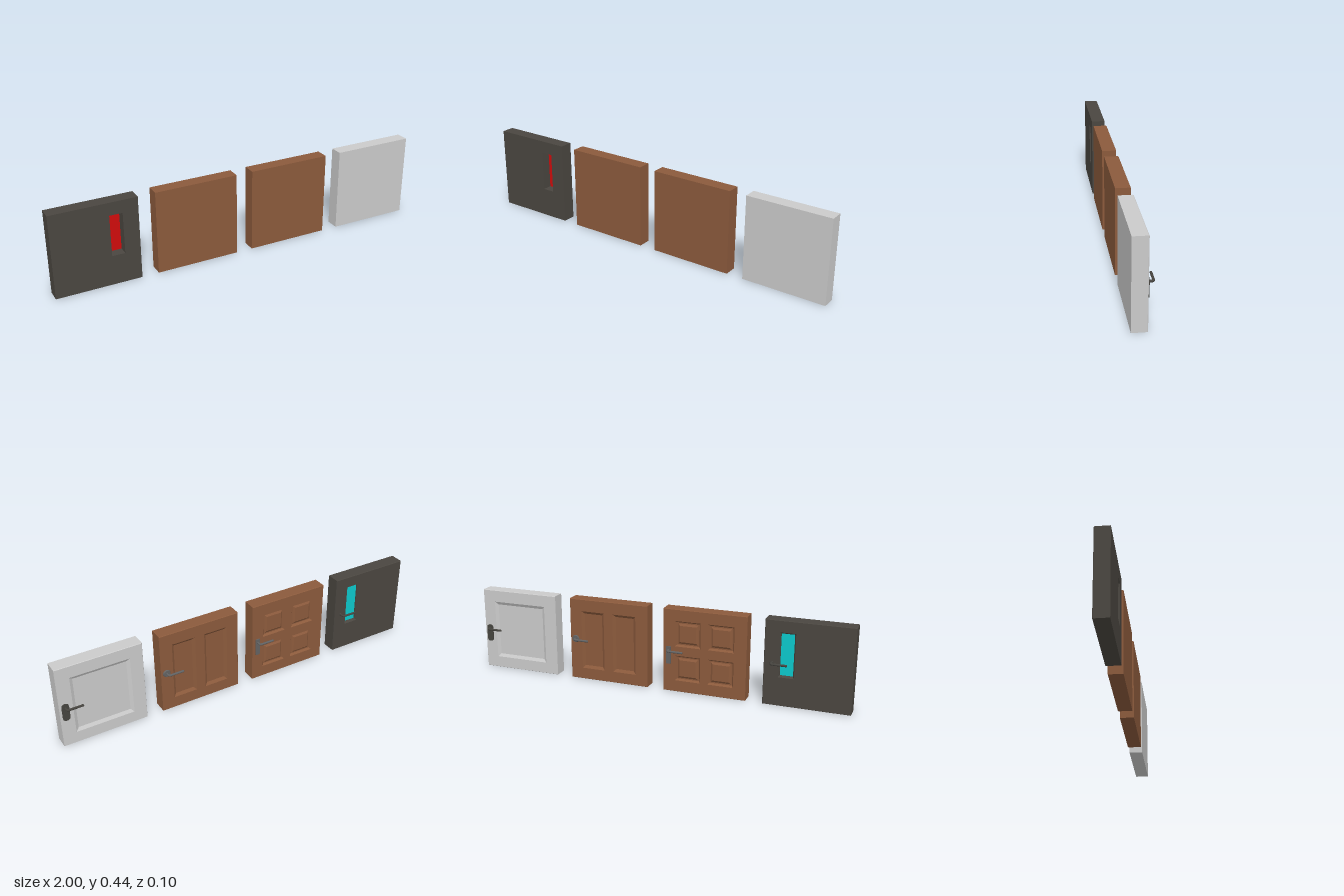
import * as THREE from 'three';

const W = 0.4345, H = 0.435, FRONT = 0.052, BACK = -0.02;

const mat = (name, color, side = THREE.FrontSide) => {
  const m = new THREE.MeshStandardMaterial({ color, side });
  m.name = name;
  return m;
};

function add(parent, name, geometry, material) {
  const mesh = new THREE.Mesh(geometry, material);
  mesh.name = name;
  parent.add(mesh);
  return mesh;
}

// rectangles are [x0, y0, x1, y1]
const inset = ([a, b, c, d], i) => [a + i, b + i, c - i, d - i];
const corners = ([a, b, c, d]) => [[a, b], [c, b], [c, d], [a, d]];

// walls joining successive inset copies of a rectangle; steps are [inset, z]
function walls(rect, steps) {
  const rings = steps.map(([i, z]) => corners(inset(rect, i)).map(([x, y]) => [x, y, z]));
  const pos = [];
  for (let r = 0; r < rings.length - 1; r++) {
    for (let k = 0; k < 4; k++) {
      const n = (k + 1) % 4, A = rings[r], B = rings[r + 1];
      pos.push(...A[k], ...B[k], ...B[n], ...A[k], ...B[n], ...A[n]);
    }
  }
  const g = new THREE.BufferGeometry();
  g.setAttribute('position', new THREE.Float32BufferAttribute(pos, 3));
  g.computeVertexNormals();
  return g;
}

// flat face with rectangular holes, facing the front (s = 1) or the back (s = -1)
function face(rect, holes, z, s) {
  const pts = (r) => corners(r).map(([x, y]) => new THREE.Vector2(x * s, y));
  const shape = new THREE.Shape(pts(rect));
  shape.holes = holes.map((h) => new THREE.Path(pts(h)));
  const g = new THREE.ShapeGeometry(shape);
  if (s < 0) g.rotateY(Math.PI);
  return g.translate(0, 0, z);
}

// door slab with a chamfered back rim, moulded panels and an optional window opening
function makeDoor(name, x, material, { panels = [], profile = [], windowRect = null, frame = 0.007 }) {
  const door = new THREE.Group();
  door.name = name;
  door.position.x = x;
  const rect = [-W / 2, 0, W / 2, H];
  const holes = windowRect ? [windowRect] : panels;
  const frontHoles = windowRect ? [inset(windowRect, frame)] : [];
  add(door, 'slabEdges', walls(rect, [[0, FRONT], [0, BACK + 0.003], [0.002, BACK]]), material);
  add(door, 'frontFace', face(rect, frontHoles, FRONT, 1), material);
  add(door, 'backFace', face(inset(rect, 0.002), holes, BACK, -1), material);
  for (const p of panels) {
    const [i, z] = profile[profile.length - 1];
    add(door, 'panelMoulding', walls(p, profile), material);
    add(door, 'panelField', face(inset(p, i), [], z, -1), material);
  }
  if (windowRect) {
    add(door, 'windowReveal', walls(windowRect, [[0, BACK], [frame, BACK + 0.01], [frame, FRONT]]), material);
  }
  return door;
}

// bent lever on the back, reaching towards the hinge side
function addLever(door, x, material) {
  const y = 0.219, z = -0.0455;
  const path = new THREE.CurvePath();
  const v = (a, c) => new THREE.Vector3(a, y, c);
  path.add(new THREE.LineCurve3(v(x, BACK + 0.005), v(x, z + 0.012)));
  path.add(new THREE.QuadraticBezierCurve3(v(x, z + 0.012), v(x, z), v(x - 0.012, z)));
  path.add(new THREE.LineCurve3(v(x - 0.012, z), v(x - 0.077, z)));
  add(door, 'lever', new THREE.TubeGeometry(path, 32, 0.0058, 12), material);
  const tip = add(door, 'leverTip', new THREE.SphereGeometry(0.0058, 12, 8), material);
  tip.position.set(x - 0.077, y, z);
}

// upright backing plate with rounded ends of the given radius
function addPlate(door, x, w, r, material) {
  const y0 = 0.147, y1 = 0.24, h = w / 2;
  const s = new THREE.Shape();
  s.moveTo(h, y0 + r);
  s.lineTo(h, y1 - r);
  s.absarc(h - r, y1 - r, r, 0, Math.PI / 2);
  s.absarc(-h + r, y1 - r, r, Math.PI / 2, Math.PI);
  s.absarc(-h + r, y0 + r, r, Math.PI, Math.PI * 1.5);
  s.absarc(h - r, y0 + r, r, Math.PI * 1.5, Math.PI * 2);
  const g = new THREE.ExtrudeGeometry(s, { depth: 0.005, bevelEnabled: false, curveSegments: 8 });
  add(door, 'handlePlate', g, material).position.set(x, 0, BACK - 0.005);
}

// round collar behind the lever
function addRosette(door, x, r, material) {
  const g = new THREE.CylinderGeometry(r, r * 0.85, 0.006, 24).rotateX(Math.PI / 2);
  add(door, 'rosette', g, material).position.set(x, 0.219, BACK - 0.003);
}

export function createModel() {
  const dark = mat('charcoal', 0x4a4640);
  const brown = mat('brownWood', 0x8b5a3c);
  const grey = mat('lightGrey', 0xcacaca);
  const red = mat('redGlass', 0xd00c0c);
  const teal = mat('tealGlass', 0x0cc8cc);
  const iron = mat('darkMetal', 0x46443f);
  const steel = mat('greyMetal', 0x626262);

  const model = new THREE.Group();
  model.name = 'doorRow';

  // charcoal door with a narrow window
  const win = [0.065, 0.148, 0.145, 0.376];
  const windowDoor = makeDoor('windowDoor', -0.7825, dark, { windowRect: win });
  add(windowDoor, 'frontPane', face(inset(win, 0.007), [], 0.002, 1), red);
  add(windowDoor, 'backPane', face(inset(win, 0.007), [], -0.004, -1), teal);
  addLever(windowDoor, 0.178, iron);
  addRosette(windowDoor, 0.178, 0.009, iron);

  // brown door with four raised panels
  const four = [];
  for (const [x0, x1] of [[-0.154, -0.02], [0.02, 0.154]]) {
    for (const [y0, y1] of [[0.06, 0.193], [0.242, 0.375]]) four.push([x0, y0, x1, y1]);
  }
  const fourPanelDoor = makeDoor('fourPanelDoor', -0.261, brown, {
    panels: four,
    profile: [[0, BACK], [0.008, -0.009], [0.014, -0.009], [0.024, -0.016]],
  });
  addPlate(fourPanelDoor, 0.188, 0.024, 0.003, steel);
  addLever(fourPanelDoor, 0.188, steel);

  // brown door with two tall recessed panels
  const twoPanelDoor = makeDoor('twoPanelDoor', 0.261, brown, {
    panels: [[-0.152, 0.06, -0.025, 0.372], [0.025, 0.06, 0.152, 0.372]],
    profile: [[0, BACK], [0.014, -0.009]],
  });
  addRosette(twoPanelDoor, 0.188, 0.02, steel);
  addLever(twoPanelDoor, 0.188, steel);

  // grey door with one large recessed panel
  const onePanelDoor = makeDoor('onePanelDoor', 0.7825, grey, {
    panels: [[-0.15, 0.06, 0.15, 0.372]],
    profile: [[0, BACK], [0.016, -0.01]],
  });
  addPlate(onePanelDoor, 0.188, 0.036, 0.016, iron);
  addLever(onePanelDoor, 0.188, iron);

  model.add(windowDoor, fourPanelDoor, twoPanelDoor, onePanelDoor);
  return model;
}
